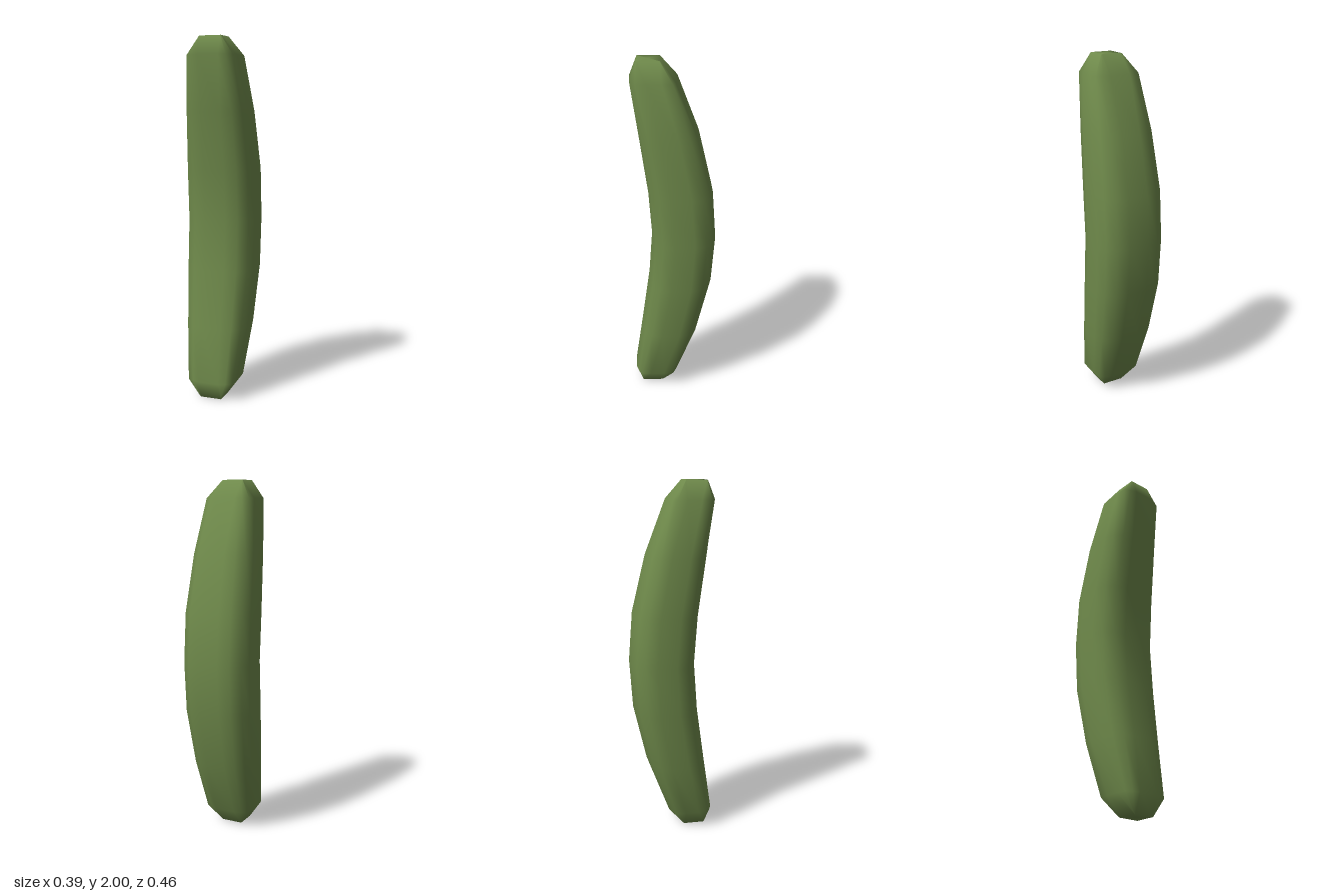
import * as THREE from 'three';

// Quarter outlines (x, z as fractions of the half width and half depth), front to side
const BODY = [[0.31, 1], [0.65, 0.91], [0.91, 0.68], [1, 0.31]];
const SHOULDER = [[0.44, 1], [0.72, 0.89], [0.97, 0.76], [1, 0.31]];
const TIP = [[0.92, 1], [0.98, 1], [1, 0.98], [1, 0.92]];

// Lower half: height, half width, back z, front z, outline
const LOWER = [
  [0, 0.062, 0.07, 0.19, TIP],
  [0.1, 0.134, -0.02, 0.23, SHOULDER],
  [0.4, 0.175, -0.135, 0.187, BODY],
  [0.72, 0.193, -0.21, 0.142, BODY],
  [1, 0.194, -0.23, 0.122, BODY],
];

// Mirrors a quarter outline into a closed 16-point loop
function fullOutline(quarter) {
  const back = [...quarter].reverse().map(([x, z]) => [x, -z]);
  const half = [...quarter, ...back];
  return [...half, ...[...half].reverse().map(([x, z]) => [-x, z])];
}

function curvedBody() {
  const upper = LOWER.slice(0, -1).reverse().map(([y, ...rest]) => [2 - y, ...rest]);
  const rings = [...LOWER, ...upper];
  const positions = [];
  const index = [];
  const n = 16;
  for (const [y, w, back, front, quarter] of rings) {
    const mid = (front + back) / 2;
    const depth = (front - back) / 2;
    for (const [x, z] of fullOutline(quarter)) positions.push(x * w, y, mid + z * depth);
  }
  // Skin between neighbouring rings
  for (let i = 0; i < rings.length - 1; i++) {
    for (let j = 0; j < n; j++) {
      const a = i * n + j;
      const b = i * n + ((j + 1) % n);
      index.push(a, b, a + n, b, b + n, a + n);
    }
  }
  // Flat tips
  const bottom = rings.length * n;
  const last = (rings.length - 1) * n;
  positions.push(0, 0, 0.13, 0, 2, 0.13);
  for (let j = 0; j < n; j++) {
    const k = (j + 1) % n;
    index.push(bottom, k, j, bottom + 1, last + j, last + k);
  }
  const geometry = new THREE.BufferGeometry();
  geometry.setAttribute('position', new THREE.Float32BufferAttribute(positions, 3));
  geometry.setIndex(index);
  geometry.computeVertexNormals();
  return geometry;
}

export function createModel() {
  const group = new THREE.Group();
  group.name = 'cucumber';
  const skin = new THREE.Mesh(curvedBody(), new THREE.MeshStandardMaterial({ color: 0x6f8a4b }));
  skin.name = 'cucumberBody';
  group.add(skin);
  return group;
}
